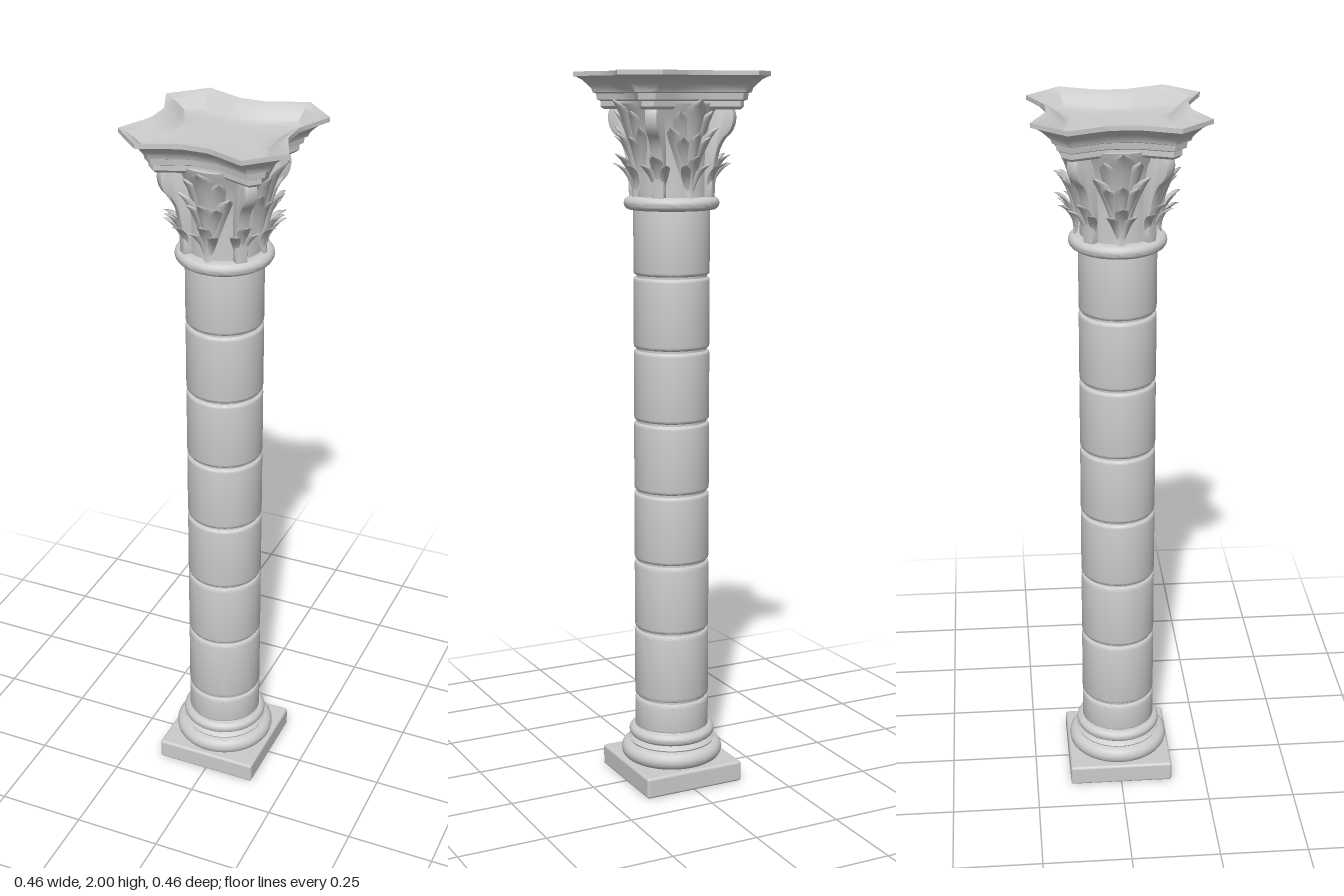
import * as THREE from 'three';
import { toCreasedNormals } from 'three/addons/utils/BufferGeometryUtils.js';
import { RoundedBoxGeometry } from 'three/addons/geometries/RoundedBoxGeometry.js';

const stone = new THREE.MeshStandardMaterial({ color: 0xcccccc });
const thin = new THREE.MeshStandardMaterial({ color: 0xcccccc, side: THREE.DoubleSide });

function add(parent, name, geometry, material = stone) {
  const mesh = new THREE.Mesh(geometry, material);
  mesh.name = name;
  parent.add(mesh);
  return mesh;
}

function lathe(points) {
  const profile = points.map(([r, y]) => new THREE.Vector2(r, y));
  return toCreasedNormals(new THREE.LatheGeometry(profile, 48), 0.7);
}

// Half-round moulding profile bulging to radius r between y0 and y1
function roll(r, y0, y1) {
  const h = (y1 - y0) / 2;
  return Array.from({ length: 9 }, (_, i) => {
    const a = -Math.PI / 2 + (i / 8) * Math.PI;
    return [r - h + h * Math.cos(a), y0 + h + h * Math.sin(a)];
  });
}

// A petal hugging the bell at its foot and curling outwards at its tip
function petal({ angle, lean = 0, y0, height, r0 = 0.108, out, width, cup = 0.012 }) {
  const rows = 12, cols = 6, pos = [], index = [];
  for (let i = 0; i <= rows; i++) {
    const s = i / rows;
    const half = width * (s < 0.7 ? 0.45 + 0.55 * Math.sin((s / 0.7) * Math.PI / 2)
      : Math.sqrt(Math.max(0.004, 1 - ((s - 0.7) / 0.3) ** 2)));
    const y = y0 + height * (s < 0.85 ? s : 0.85 + (s - 0.85) * 0.75);
    for (let j = 0; j <= cols; j++) {
      const u = (j / cols) * 2 - 1;
      const r = r0 + out * s ** 2.6 - cup * u * u * Math.sin(s * Math.PI * 0.8);
      const a = angle + (lean * s ** 1.2 + u * half) / (r0 + out * 0.4);
      pos.push(r * Math.sin(a), y, r * Math.cos(a));
      if (i < rows && j < cols) {
        const k = i * (cols + 1) + j, n = k + cols + 1;
        index.push(k, k + 1, n, k + 1, n + 1, n);
      }
    }
  }
  const g = new THREE.BufferGeometry();
  g.setAttribute('position', new THREE.Float32BufferAttribute(pos, 3));
  g.setIndex(index);
  g.computeVertexNormals();
  return g;
}

// Star-shaped loops: t = 0 is the wide rim, t = 1 the inner floor outline
function abacus() {
  const rim = [[-0.14, 0.228], [-0.062, 0.195], [-0.035, 0.185], [0.035, 0.185], [0.062, 0.195], [0.14, 0.228]];
  const floor = [[-0.13, 0.165], [-0.06, 0.138], [-0.035, 0.13], [0.035, 0.13], [0.06, 0.138], [0.13, 0.165]];
  const loops = [
    [1.35, 1.9], [1.2, 1.908], [1.2, 1.922], [1.04, 1.926], [1.0, 1.942], [0.86, 1.945], [0.8, 1.955],
    [0.62, 1.966], [0.4, 1.978], [0.15, 1.986], [0, 1.988], [0, 2],
    [0.1, 1.999], [0.35, 1.991], [0.65, 1.979], [0.9, 1.966], [1.02, 1.962], [1.5, 1.96],
  ];
  const pos = [], index = [], n = 24;
  for (const [t, y] of loops) {
    for (let q = 0; q < 4; q++) {
      const c = Math.round(Math.cos(q * Math.PI / 2)), s = Math.round(Math.sin(q * Math.PI / 2));
      rim.forEach(([x, z], i) => {
        const px = x + (floor[i][0] - x) * t, pz = z + (floor[i][1] - z) * t;
        pos.push(px * c + pz * s, y, pz * c - px * s);
      });
    }
  }
  for (let l = 0; l < loops.length - 1; l++) {
    for (let i = 0; i < n; i++) {
      const a = l * n + i, b = l * n + (i + 1) % n;
      index.push(a, b, a + n, b, b + n, a + n);
    }
  }
  // close the underside and the dished top
  const last = (loops.length - 1) * n, centre = loops.length * n;
  pos.push(0, 1.9, 0, 0, 1.96, 0);
  for (let i = 0; i < n; i++) {
    const j = (i + 1) % n;
    index.push(centre, j, i, centre + 1, last + i, last + j);
  }
  const g = new THREE.BufferGeometry();
  g.setAttribute('position', new THREE.Float32BufferAttribute(pos, 3));
  g.setIndex(index);
  return toCreasedNormals(g, 0.6);
}

// Corner stalk that swells outwards into a small scroll
function stalkGeometry() {
  const s = new THREE.Shape();
  s.moveTo(0.09, 1.67);
  s.lineTo(0.115, 1.67);
  s.bezierCurveTo(0.118, 1.76, 0.125, 1.8, 0.15, 1.83);
  s.bezierCurveTo(0.182, 1.85, 0.182, 1.905, 0.155, 1.912);
  s.lineTo(0.09, 1.912);
  s.closePath();
  const g = new THREE.ExtrudeGeometry(s, {
    depth: 0.024, curveSegments: 10, bevelThickness: 0.005, bevelSize: 0.004, bevelSegments: 2,
  });
  g.translate(0, 0, -0.012);
  return toCreasedNormals(g, 0.7);
}

export function createModel() {
  const model = new THREE.Group();
  model.name = 'column';

  // Base
  add(model, 'plinth', new RoundedBoxGeometry(0.3, 0.06, 0.3, 3, 0.008)).position.y = 0.03;
  add(model, 'baseMouldings', lathe([
    [0, 0.058], ...roll(0.145, 0.058, 0.108), [0.122, 0.112], [0.115, 0.12],
    ...roll(0.122, 0.122, 0.155), [0.104, 0.16], [0, 0.16],
  ]));

  // Shaft of drums with rounded edges and recessed joints
  const seams = [0.15, 0.245, 0.447, 0.647, 0.848, 1.048, 1.25, 1.452, 1.645];
  const shaft = [[0.097, seams[0]]];
  for (let i = 0; i < seams.length - 1; i++) {
    const a = seams[i] + 0.003, b = seams[i + 1] - 0.003;
    shaft.push([0.097, a], [0.101, a + 0.001], [0.104, a + 0.004], [0.105, a + 0.01],
      [0.105, b - 0.01], [0.104, b - 0.004], [0.101, b - 0.001], [0.097, b]);
  }
  add(model, 'shaftDrums', lathe(shaft));
  add(model, 'neckRing', lathe([[0.09, 1.632], ...roll(0.131, 1.632, 1.668), [0.09, 1.668]]));

  // Capital
  const capital = new THREE.Group();
  capital.name = 'capital';
  model.add(capital);
  add(capital, 'bell', lathe([[0.1, 1.66], [0.1, 1.75], [0.104, 1.82], [0.115, 1.87], [0.13, 1.9], [0.135, 1.915], [0, 1.915]]));
  const stalk = stalkGeometry();
  for (let i = 0; i < 4; i++) {
    const angle = i * Math.PI / 2;
    // tall leaf: a broad tongue with fanned side lobes
    add(capital, 'upperLeafTongue', petal({ angle, y0: 1.67, height: 0.265, out: 0.065, width: 0.036, r0: 0.112 }), thin);
    for (const side of [-1, 1]) {
      [[0.04, 0.235, 0.05, 0.026], [0.062, 0.19, 0.045, 0.022], [0.034, 0.165, 0.048, 0.021]].forEach(([lean, height, out, width]) =>
        add(capital, 'upperLeafLobe', petal({ angle, lean: lean * side, y0: 1.67, height, out, width }), thin));
    }
    add(capital, 'upperLeafRib', petal({ angle, y0: 1.67, height: 0.175, out: 0.05, width: 0.02, r0: 0.116 }), thin);
    add(capital, 'cornerStalk', stalk).rotation.y = angle + Math.PI / 4;
  }
  // short leaves round the foot of the bell
  for (let i = 0; i < 8; i++) {
    const angle = i * Math.PI / 4;
    add(capital, 'lowerLeafTongue', petal({ angle, y0: 1.665, height: 0.12, out: 0.05, width: 0.019, r0: 0.116 }), thin);
    for (const side of [-1, 1]) {
      add(capital, 'lowerLeafLobe', petal({ angle, lean: 0.03 * side, y0: 1.665, height: 0.095, out: 0.048, width: 0.015, r0: 0.114 }), thin);
    }
  }
  add(capital, 'abacus', abacus());
  return model;
}
